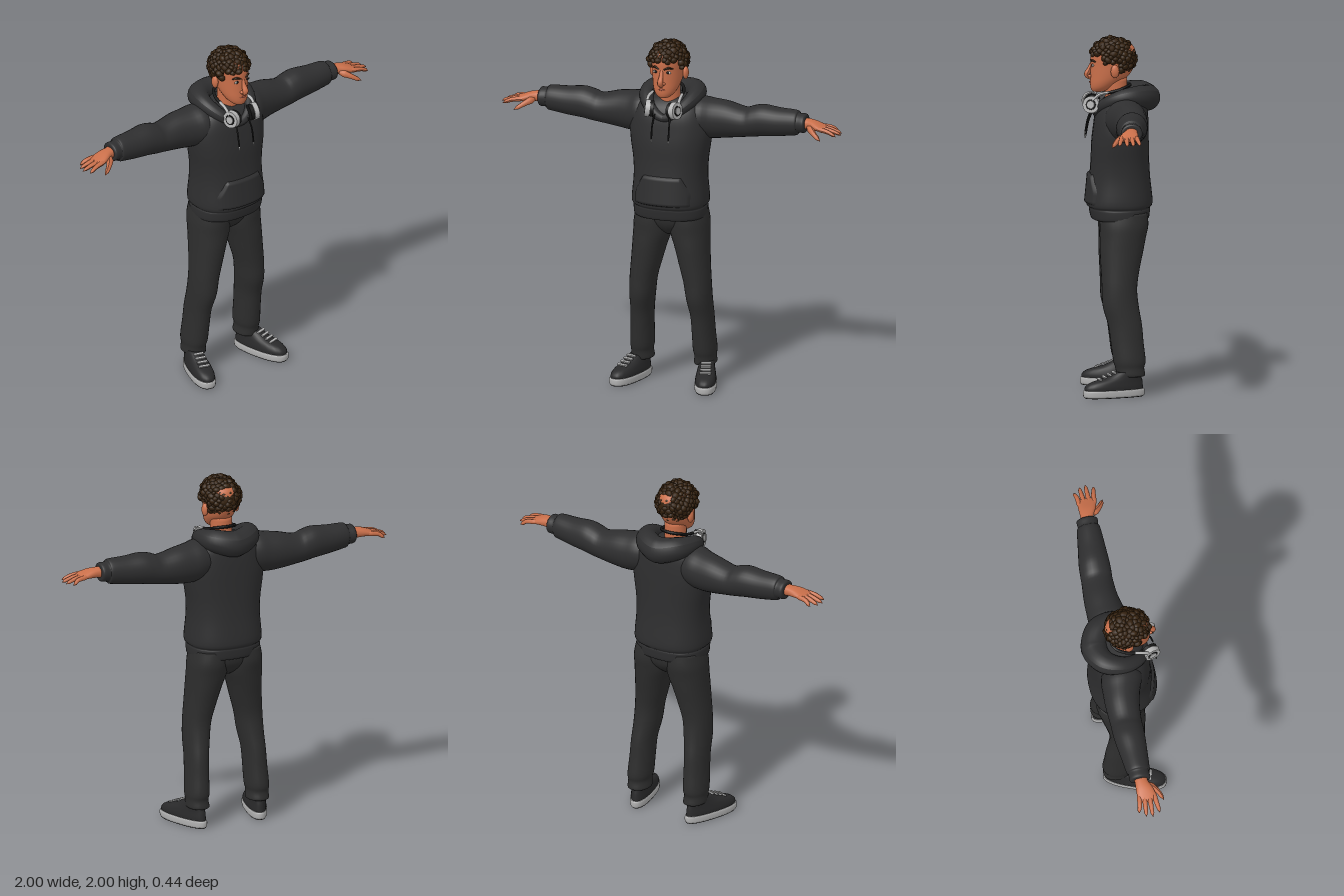
import * as THREE from 'three';
import { mergeGeometries, mergeVertices } from 'three/addons/utils/BufferGeometryUtils.js';

const V = (x, y, z) => new THREE.Vector3(x, y, z);
const mat = (name, color, side = THREE.FrontSide) => Object.assign(new THREE.MeshStandardMaterial({ color, side }), { name });

// Smooth value between key rows (Catmull-Rom)
function sample(keys, t) {
  const n = keys.length - 1, i = Math.min(Math.floor(t), n - 1), f = t - i;
  const [p, q, r, s] = [-1, 0, 1, 2].map(d => keys[Math.min(Math.max(i + d, 0), n)]);
  return q.map((_, k) => 0.5 * (2 * q[k] + (r[k] - p[k]) * f + (2 * p[k] - 5 * q[k] + 4 * r[k] - s[k]) * f * f
    + (3 * q[k] - p[k] - 3 * r[k] + s[k]) * f * f * f));
}

// Capped loft. Axis y rows: [y, centreX, centreZ, halfX, halfZ]; axis x rows: [x, centreZ, centreY, halfZ, halfY]
function loft(keys, axis = 'y', power = 2, sides = 28, sub = 4) {
  const pos = [], idx = [], rows = (keys.length - 1) * sub;
  const put = (h, u, v) => axis === 'y' ? pos.push(u, h, v) : pos.push(h, v, u);
  const bend = c => Math.sign(c) * Math.abs(c) ** (2 / power);
  for (let i = 0; i <= rows; i++) {
    const [h, cu, cv, a, b] = sample(keys, i / sub);
    for (let j = 0; j < sides; j++) {
      const w = j / sides * Math.PI * 2;
      put(h, cu + a * bend(Math.cos(w)), cv + b * bend(Math.sin(w)));
    }
  }
  for (let i = 0; i < rows; i++) for (let j = 0; j < sides; j++) {
    const a = i * sides + j, c = i * sides + (j + 1) % sides;
    idx.push(a, a + sides, c, c, a + sides, c + sides);
  }
  const lo = (rows + 1) * sides, first = keys[0], last = keys[keys.length - 1];
  put(first[0], first[1], first[2]);
  put(last[0], last[1], last[2]);
  for (let j = 0; j < sides; j++) {
    const k = (j + 1) % sides;
    idx.push(lo, j, k, lo + 1, rows * sides + k, rows * sides + j);
  }
  const g = new THREE.BufferGeometry();
  g.setAttribute('position', new THREE.Float32BufferAttribute(pos, 3));
  g.setIndex(idx);
  g.computeVertexNormals();
  return g;
}

// Tube whose radius follows a list of values
function tube(points, radii, seg = 16, sides = 10, closed = false) {
  const curve = new THREE.CatmullRomCurve3(points.map(p => V(...p)), closed);
  const g = new THREE.TubeGeometry(curve, seg, 1, sides, closed), p = g.attributes.position, v = V(0, 0, 0);
  for (let i = 0; i < p.count; i++) {
    const t = Math.floor(i / (sides + 1)) / seg, c = curve.getPointAt(t), f = t * (radii.length - 1);
    const k = Math.min(Math.floor(f), radii.length - 2);
    v.fromBufferAttribute(p, i).sub(c).multiplyScalar(THREE.MathUtils.lerp(radii[k], radii[k + 1], f - k)).add(c);
    p.setXYZ(i, v.x, v.y, v.z);
  }
  g.computeVertexNormals();
  return g;
}

const ball = (x, y, z, a, b, c) => new THREE.SphereGeometry(1, 16, 12).scale(a, b, c).translate(x, y, z);

function mirror(geo) {
  const g = geo.clone().scale(-1, 1, 1), ix = g.index.array;
  for (let i = 0; i < ix.length; i += 3) [ix[i], ix[i + 1]] = [ix[i + 1], ix[i]];
  return g;
}

export function createModel() {
  const root = new THREE.Group();
  root.name = 'youngManInHoodie';
  const M = {
    skin: mat('skin', 0xc96f4a), lip: mat('lips', 0xa95540), hair: mat('hair', 0x33200d),
    hoodie: mat('hoodie cloth', 0x2e2e2f), pants: mat('trouser cloth', 0x2d2d2d),
    shoe: mat('shoe', 0x29292a), light: mat('light grey', 0xb2b2b2), dark: mat('near black', 0x161616),
    white: mat('eye white', 0xd8d0c8)
  };
  const add = (name, g, m) => {
    const mesh = new THREE.Mesh(g, m);
    mesh.name = name;
    root.add(mesh);
  };
  const pair = (name, g, m) => { add(name + 'Left', g, m); add(name + 'Right', mirror(g), m); };

  // Hoodie body with ribbed hem
  add('hoodieBody', loft([[0.975, 0, 0.005, 0.19, 0.15], [0.985, 0, 0.005, 0.204, 0.163], [1.03, 0, 0.007, 0.206, 0.17],
    [1.042, 0, 0.008, 0.203, 0.17], [1.07, 0, 0.008, 0.215, 0.185], [1.2, 0, 0.006, 0.206, 0.17],
    [1.3, 0, 0.005, 0.21, 0.163], [1.4, 0, 0.004, 0.225, 0.16], [1.48, 0, 0, 0.232, 0.155], [1.56, 0, -0.005, 0.22, 0.147],
    [1.62, 0, -0.015, 0.195, 0.13], [1.66, 0, -0.03, 0.14, 0.1], [1.67, 0, -0.03, 0.06, 0.06]], 'y', 2.4, 40), M.hoodie);

  // Kangaroo pocket, wrapped on the belly with its rim sunk in
  const pocket = new THREE.PlaneGeometry(2, 1, 28, 14), pp = pocket.attributes.position;
  for (let i = 0; i < pp.count; i++) {
    const u = pp.getX(i), v = pp.getY(i) + 0.5;
    const x = u * (v < 0.45 ? 0.168 : THREE.MathUtils.lerp(0.168, 0.11, (v - 0.45) / 0.55)), y = 1.06 + 0.175 * v;
    const a = 0.213 - 0.008 * v, b = 0.185 - 0.017 * v, rim = Math.abs(u) > 0.99 || v < 0.01 || v > 0.99;
    pp.setXYZ(i, x, y, 0.007 + b * (1 - (Math.abs(x) / a) ** 2.4) ** (1 / 2.4) + (rim ? -0.01 : 0.012));
  }
  pocket.computeVertexNormals();
  add('pocket', pocket, M.hoodie);

  // Sleeves with soft folds and cuffs
  pair('sleeve', loft([[0.08, -0.02, 1.55, 0.09, 0.09], [0.17, -0.022, 1.55, 0.116, 0.114], [0.24, -0.035, 1.542, 0.106, 0.113],
    [0.32, -0.045, 1.54, 0.096, 0.104], [0.42, -0.046, 1.535, 0.088, 0.085], [0.47, -0.045, 1.545, 0.088, 0.089],
    [0.53, -0.044, 1.556, 0.086, 0.09], [0.62, -0.04, 1.557, 0.077, 0.081], [0.7, -0.037, 1.562, 0.069, 0.074],
    [0.732, -0.036, 1.563, 0.064, 0.069], [0.74, -0.036, 1.564, 0.057, 0.056], [0.775, -0.035, 1.565, 0.06, 0.054],
    [0.785, -0.035, 1.565, 0.05, 0.044]], 'x', 2), M.hoodie);

  // Hood lying around the neck, thick at the back
  const half = [[0.09, 1.615, 0.105], [0.137, 1.665, 0.0], [0.1, 1.668, -0.105]];
  add('hood', tube([[0, 1.565, 0.135], ...half, [0, 1.65, -0.145], ...half.map(([x, y, z]) => [-x, y, z]).reverse()],
    [0.022, 0.034, 0.046, 0.064, 0.075, 0.064, 0.046, 0.034, 0.022], 64, 18, true), M.hoodie);

  // Drawstrings with light tips
  pair('drawstring', tube([[0.045, 1.59, 0.155], [0.05, 1.53, 0.18], [0.05, 1.45, 0.196]], [0.005, 0.005], 10, 6), M.dark);
  pair('drawstringTip', tube([[0.05, 1.452, 0.196], [0.05, 1.43, 0.2]], [0.006, 0.003], 4, 6), M.light);

  // Hands: palm, four fingers and thumb
  const hand = [loft([[0.76, -0.033, 1.565, 0.037, 0.032], [0.8, -0.03, 1.566, 0.037, 0.029], [0.84, -0.022, 1.563, 0.047, 0.025],
    [0.88, -0.016, 1.555, 0.053, 0.018], [0.905, -0.015, 1.549, 0.048, 0.013], [0.912, -0.015, 1.547, 0.03, 0.006]], 'x', 2.3, 20)];
  [[-0.057, -0.073, 0.965], [-0.03, -0.038, 0.992], [-0.002, -0.003, 1.0], [0.024, 0.038, 0.982]].forEach(([z0, z1, x1]) =>
    hand.push(tube([[0.87, 1.556, z0], [0.93, 1.547, (z0 + z1) / 2], [x1 - 0.012, 1.531, z1], [x1, 1.525, z1]],
      [0.012, 0.0145, 0.0135, 0.013, 0.0115, 0.01, 0], 18, 8)));
  hand.push(tube([[0.81, 1.556, 0.0], [0.85, 1.537, 0.045], [0.885, 1.515, 0.068], [0.905, 1.503, 0.077]],
    [0.014, 0.021, 0.017, 0.014, 0.012, 0], 15, 8));
  hand.forEach(g => g.deleteAttribute('uv'));
  pair('hand', mergeGeometries(hand), M.skin);

  // Trousers
  pair('trouserLeg', loft([[0.112, 0.183, -0.048, 0.053, 0.07], [0.12, 0.184, -0.05, 0.062, 0.08], [0.16, 0.186, -0.044, 0.059, 0.08],
    [0.2, 0.184, -0.042, 0.064, 0.09], [0.3, 0.18, -0.03, 0.062, 0.091], [0.4, 0.176, -0.018, 0.062, 0.094],
    [0.5, 0.167, 0.005, 0.069, 0.1], [0.6, 0.158, 0.012, 0.075, 0.098], [0.7, 0.141, 0.008, 0.085, 0.107],
    [0.8, 0.124, 0, 0.096, 0.12], [0.88, 0.109, -0.008, 0.108, 0.128], [0.95, 0.106, -0.014, 0.107, 0.136],
    [1.02, 0.1, -0.014, 0.1, 0.13]], 'y', 2.15), M.pants);
  add('trouserSeat', loft([[0.868, 0, -0.01, 0.02, 0.06], [0.9, 0, -0.01, 0.08, 0.1], [0.95, 0, -0.012, 0.16, 0.128],
    [1.03, 0, -0.01, 0.19, 0.135]], 'y', 2.3), M.pants);

  // Shoes: turned out, wider at the toe
  const place = g => {
    const p = g.attributes.position;
    for (let i = 0; i < p.count; i++) p.setX(i, p.getX(i) * (1 + 0.9 * p.getZ(i)));
    g.computeVertexNormals();
    return g.rotateY(0.28).translate(0.22, 0, 0.045);
  };
  pair('shoeUpper', place(loft([[0.035, 0, 0, 0.056, 0.17], [0.06, 0, 0, 0.057, 0.168], [0.085, 0, -0.015, 0.053, 0.15],
    [0.11, 0, -0.055, 0.048, 0.105], [0.14, 0, -0.085, 0.043, 0.075]], 'y', 2.3)), M.shoe);
  pair('shoeSole', place(loft([[0.004, 0, 0, 0.056, 0.171], [0.012, 0, 0, 0.06, 0.177], [0.036, 0, 0, 0.061, 0.178],
    [0.044, 0, 0, 0.057, 0.173]], 'y', 2.4)), M.light);
  pair('shoeTread', place(loft([[0, 0, 0, 0.054, 0.169], [0.006, 0, 0, 0.056, 0.171]], 'y', 2.4)), M.dark);
  const laces = [0, 1, 2, 3].map(i => new THREE.BoxGeometry(0.058, 0.009, 0.013).rotateX(0.4)
    .translate(0, 0.104 + i * 0.0115, 0.085 - i * 0.028));
  pair('laces', place(mergeGeometries(laces)), M.light);

  // Head and neck
  add('neck', loft([[1.56, 0, 0.02, 0.068, 0.07], [1.64, 0, 0.025, 0.06, 0.062], [1.77, 0, 0.03, 0.06, 0.065]]), M.skin);
  add('head', loft([[1.684, 0, 0.125, 0.018, 0.02], [1.69, 0, 0.12, 0.035, 0.04], [1.71, 0, 0.105, 0.056, 0.063],
    [1.74, 0, 0.085, 0.071, 0.085], [1.78, 0, 0.06, 0.081, 0.109], [1.84, 0, 0.045, 0.087, 0.123], [1.9, 0, 0.042, 0.09, 0.125],
    [1.945, 0, 0.04, 0.078, 0.105], [1.97, 0, 0.04, 0.04, 0.05]]), M.skin);
  add('nose', tube([[0, 1.85, 0.16], [0, 1.81, 0.175], [0, 1.778, 0.188], [0, 1.762, 0.166]], [0.008, 0.012, 0.017, 0.012], 14, 10), M.skin);
  pair('nostril', ball(0.014, 1.774, 0.172, 0.01, 0.009, 0.012), M.skin);
  pair('ear', ball(0.097, 1.81, 0.035, 0.016, 0.037, 0.024).rotateY(0), M.skin);
  pair('eye', ball(0.037, 1.837, 0.156, 0.017, 0.008, 0.006), M.white);
  pair('iris', ball(0.036, 1.838, 0.16, 0.008, 0.008, 0.004), M.dark);
  pair('eyebrow', tube([[0.014, 1.855, 0.166], [0.038, 1.865, 0.159], [0.06, 1.857, 0.141]], [0.004, 0.007, 0.003], 10, 6), M.hair);
  add('mouth', tube([[-0.028, 1.737, 0.161], [0, 1.739, 0.17], [0.028, 1.737, 0.161]], [0.001, 0.006, 0.001], 12, 6), M.lip);

  // Curly hair: a cap covered with small lumps
  add('hairCap', new THREE.SphereGeometry(1, 28, 14, 0, Math.PI * 2, 0, Math.PI * 0.53).rotateX(-0.62)
    .scale(0.1, 0.105, 0.13).translate(0, 1.875, 0.042), M.hair);
  const curls = [], N = 260;
  const rand = i => { const s = Math.sin(i * 12.9898) * 43758.5453; return s - Math.floor(s); };
  for (let i = 0; i < N; i++) {
    const y = 1 - 2 * (i + 0.5) / N, r = Math.sqrt(1 - y * y), w = i * 2.39996;
    const c = V(Math.cos(w) * r * 0.1, 1.875 + y * 0.103, 0.045 + Math.sin(w) * r * 0.117);
    const line = c.z > 0.1 ? 1.895 : c.z > 0.06 ? 1.85 : c.z > 0.015 ? 1.855 : 1.785;
    if (c.y < line) continue;
    const s = 0.015 + 0.01 * rand(i);
    const g = new THREE.IcosahedronGeometry(s, 1).scale(1, 0.8, 1.1).rotateZ(rand(i + 500) * 3).rotateY(rand(i + 900) * 6);
    curls.push(g.translate(c.x, c.y, c.z));
  }
  const curlGeo = mergeGeometries(curls);
  curlGeo.deleteAttribute('uv');
  curlGeo.deleteAttribute('normal');
  const curlMesh = mergeVertices(curlGeo, 1e-5);
  curlMesh.computeVertexNormals();
  add('hairCurls', curlMesh, M.hair);

  // Headphones resting on the collar
  const disc = (r, w, x) => new THREE.CylinderGeometry(r, r * 0.94, w, 28).rotateZ(Math.PI / 2)
    .translate(x, 0, 0).rotateY(-0.3).rotateZ(0.12).translate(0.075, 1.622, 0.163);
  pair('headphoneCup', disc(0.05, 0.028, 0.008), M.light);
  pair('headphoneCushion', disc(0.046, 0.022, -0.016), M.dark);
  pair('headphoneRing', disc(0.03, 0.004, 0.022), M.dark);
  pair('headphoneHub', disc(0.022, 0.004, 0.0245), M.light);
  pair('headphoneArm', tube([[0.09, 1.645, 0.16], [0.092, 1.68, 0.12], [0.086, 1.69, 0.07]], [0.009, 0.009], 10, 8), M.light);
  add('headphoneBand', tube([[0.087, 1.688, 0.08], [0.08, 1.7, 0.02], [0.05, 1.718, -0.035], [0, 1.722, -0.052],
    [-0.05, 1.718, -0.035], [-0.08, 1.7, 0.02], [-0.087, 1.688, 0.08]], [0.009, 0.009], 32, 8), M.dark);
  return root;
}
